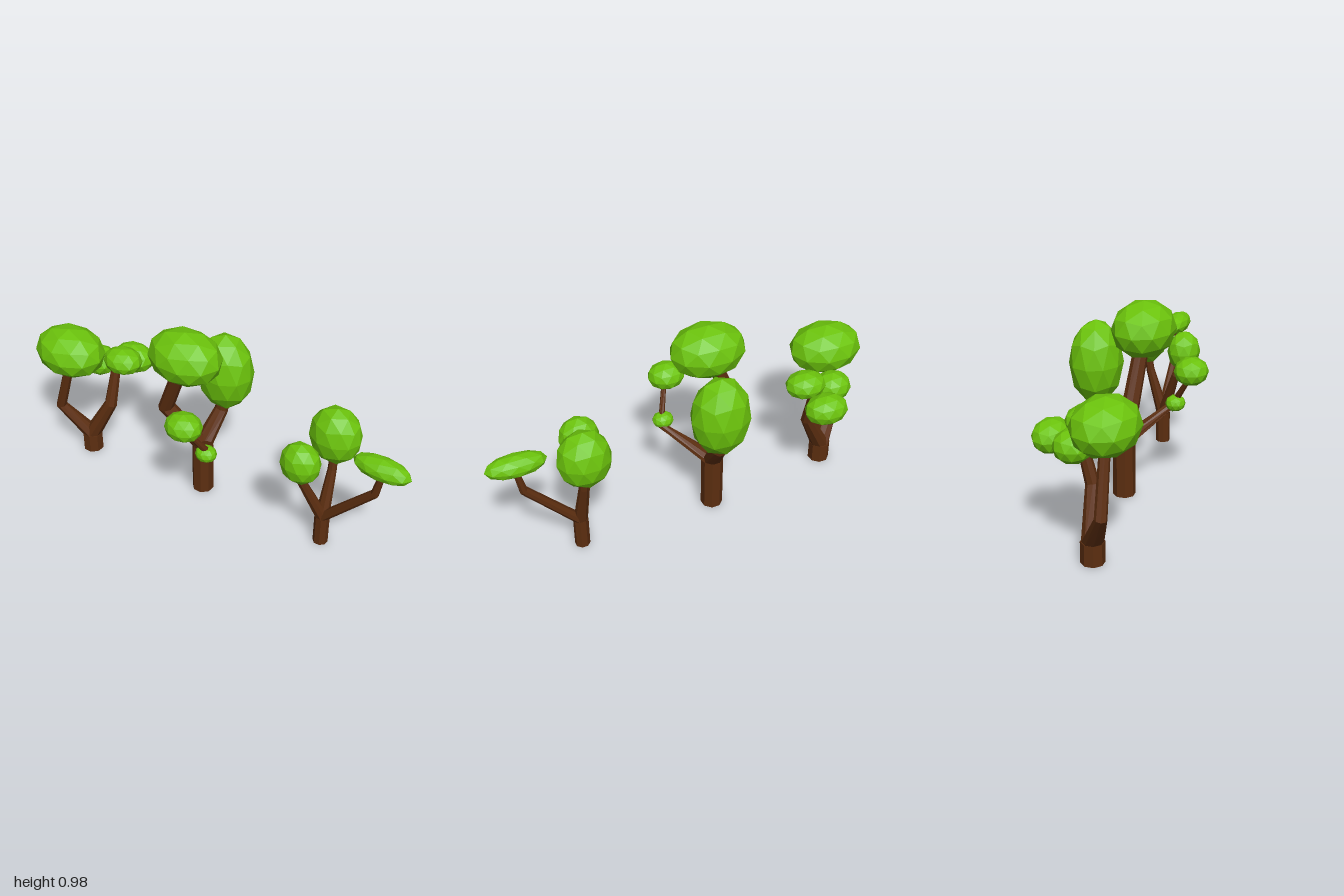
import * as THREE from 'three';

const SIDES = 8;
const bark = new THREE.MeshStandardMaterial({ color: 0x5c2e10, flatShading: true });
const leaf = new THREE.MeshStandardMaterial({ color: 0x6cc40c, flatShading: true });

// Octagonal tapering limb through points [x, y, z, radius], mitred at each elbow
function limb(name, points) {
  const centres = points.map(([x, y, z]) => new THREE.Vector3(x, y, z));
  const up = new THREE.Vector3(0, 1, 0);
  const positions = [], index = [];
  points.forEach((p, i) => {
    const before = centres[Math.max(i - 1, 0)], after = centres[Math.min(i + 1, points.length - 1)];
    const dir = i === 0 ? up : after.clone().sub(before).normalize();
    const turn = new THREE.Quaternion().setFromUnitVectors(up, dir);
    for (let s = 0; s < SIDES; s++) {
      const a = ((s + 0.5) / SIDES) * Math.PI * 2;
      const v = new THREE.Vector3(Math.sin(a), 0, Math.cos(a)).multiplyScalar(p[3] * 1.08);
      positions.push(...v.applyQuaternion(turn).add(centres[i]).toArray());
    }
  });
  for (let i = 0; i < points.length - 1; i++) {
    for (let s = 0; s < SIDES; s++) {
      const a = i * SIDES + s, b = i * SIDES + ((s + 1) % SIDES);
      index.push(a, b, b + SIDES, a, b + SIDES, a + SIDES);
    }
  }
  // end caps
  const top = (points.length - 1) * SIDES;
  for (let s = 1; s < SIDES - 1; s++) {
    index.push(0, s + 1, s, top, top + s, top + s + 1);
  }
  const geometry = new THREE.BufferGeometry();
  geometry.setAttribute('position', new THREE.Float32BufferAttribute(positions, 3));
  geometry.setIndex(index);
  const flat = geometry.toNonIndexed();
  flat.computeVertexNormals();
  const mesh = new THREE.Mesh(flat, bark);
  mesh.name = name;
  return mesh;
}

// Faceted ellipsoid of leaves
function foliage([x, y, z, rx, ry, rz]) {
  const geometry = new THREE.IcosahedronGeometry(1, 1);
  geometry.rotateZ(Math.atan(2 / (1 + Math.sqrt(5)))); // one vertex straight up
  geometry.scale(rx * 1.01, ry, rz * 1.01);
  geometry.computeVertexNormals();
  const mesh = new THREE.Mesh(geometry, leaf);
  mesh.position.set(x, y, z);
  mesh.name = 'foliage';
  return mesh;
}

const trees = [
  {
    name: 'frontTree', base: [0.06, 0.58], radius: 0.034, height: 0.16,
    branches: [
      [[0.06, 0.43, 0.835, 0.02], [0.06, 0.57, 0.865, 0.013]],
      [[0.13, 0.4, 0.575, 0.02], [0.15, 0.55, 0.57, 0.017]],
      [[-0.03, 0.41, 0.498, 0.019], [-0.065, 0.52, 0.515, 0.015]],
    ],
    leaves: [
      [0.06, 0.585, 0.855, 0.063, 0.053, 0.143],
      [0.148, 0.587, 0.568, 0.108, 0.147, 0.128],
      [-0.068, 0.54, 0.517, 0.083, 0.105, 0.098],
    ],
  },
  {
    name: 'middleTree', base: [0.05, -0.115], radius: 0.05, height: 0.28,
    branches: [
      [[-0.03, 0.49, -0.275, 0.038], [-0.055, 0.8, -0.15, 0.032]],
      [[-0.135, 0.415, 0.075, 0.017], [-0.24, 0.59, 0.01, 0.011]],
      [[0.175, 0.43, -0.09, 0.032], [0.195, 0.6, -0.08, 0.026]],
    ],
    leaves: [
      [-0.055, 0.848, -0.133, 0.145, 0.131, 0.187],
      [0.195, 0.648, -0.082, 0.126, 0.207, 0.145],
      [-0.245, 0.62, -0.003, 0.081, 0.067, 0.092],
      [-0.154, 0.43, 0.056, 0.048, 0.04, 0.053],
    ],
  },
  {
    name: 'backTree', base: [-0.032, -0.785], radius: 0.05, height: 0.1,
    branches: [
      [[-0.115, 0.275, -0.91, 0.026], [-0.107, 0.6, -0.815, 0.022]],
      [[0.005, 0.31, -0.672, 0.03], [0.06, 0.52, -0.665, 0.022]],
    ],
    leaves: [
      [-0.107, 0.645, -0.812, 0.147, 0.125, 0.187],
      [0.055, 0.575, -0.614, 0.086, 0.066, 0.103],
      [0.052, 0.52, -0.77, 0.087, 0.075, 0.094],
      [0.19, 0.505, -0.657, 0.086, 0.076, 0.111],
    ],
  },
];

export function createModel() {
  const model = new THREE.Group();
  model.name = 'treeGroup';
  for (const { name, base: [x, z], radius, height, branches, leaves } of trees) {
    const tree = new THREE.Group();
    tree.name = name;
    tree.add(limb('trunk', [[x, 0, z, radius], [x, height, z, radius]]));
    // each branch grows out of the trunk top
    for (const path of branches) {
      tree.add(limb('branch', [[x, height - 0.005, z, radius * 0.92], ...path]));
    }
    for (const blob of leaves) tree.add(foliage(blob));
    model.add(tree);
  }
  return model;
}
